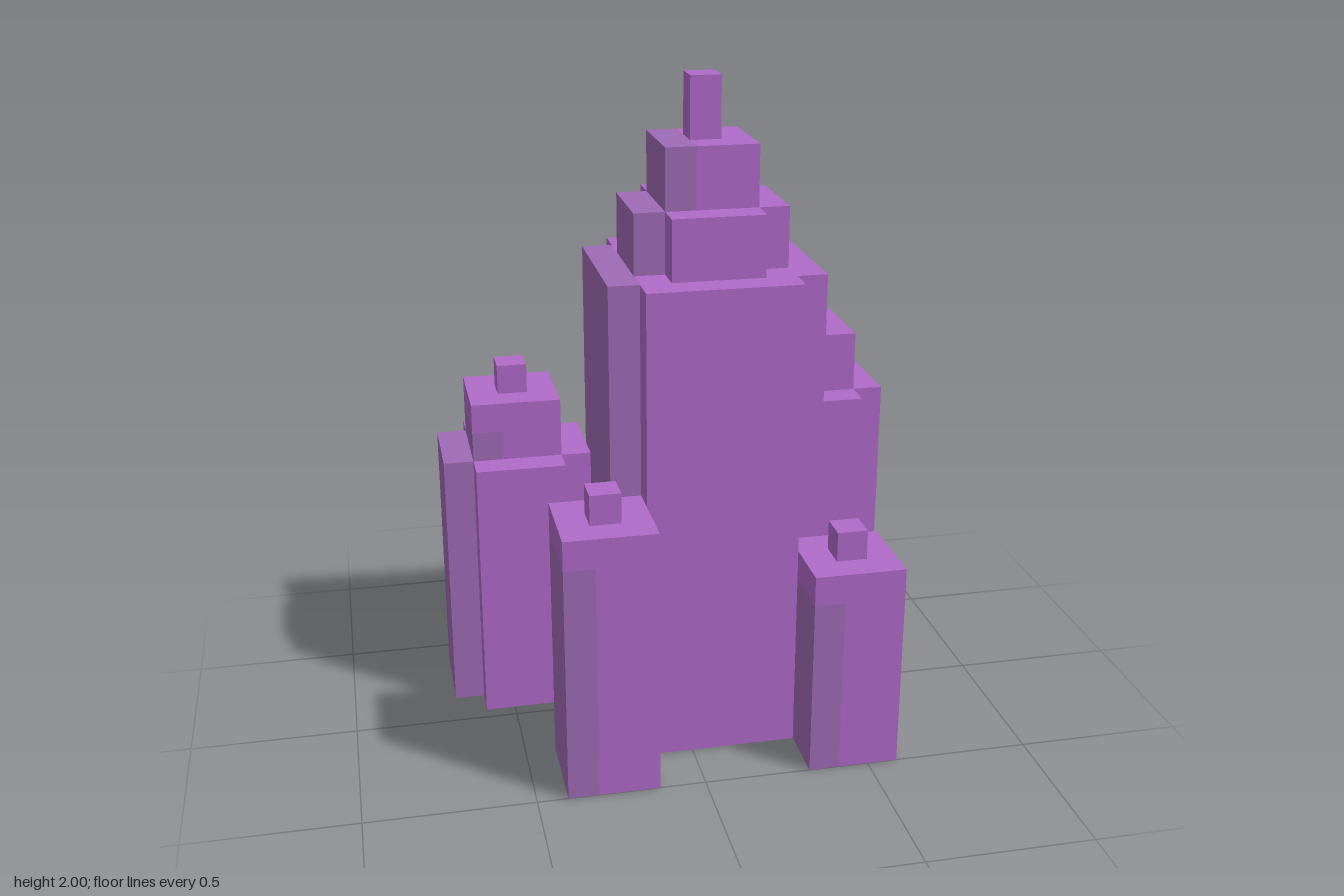
import * as THREE from 'three';
import { mergeGeometries } from 'three/addons/utils/BufferGeometryUtils.js';

const U = 2 / 22; // edge of one cube; the model is 15 x 22 x 11 cubes
const materials = {
  violet: new THREE.MeshStandardMaterial({ color: 0xb06bca }),
  greyViolet: new THREE.MeshStandardMaterial({ color: 0x9f6bb6 }),
};
for (const [name, m] of Object.entries(materials)) m.name = name;

// Six face directions with the rotation that turns a +z plane towards each
const FACES = [
  [1, 0, 0, 0, Math.PI / 2], [-1, 0, 0, 0, -Math.PI / 2],
  [0, 1, 0, -Math.PI / 2, 0], [0, -1, 0, Math.PI / 2, 0],
  [0, 0, 1, 0, 0], [0, 0, -1, 0, Math.PI],
];

export function createModel() {
  const cells = new Map();
  const key = (x, y, z) => `${x},${y},${z}`;

  // Fill a block of cubes: start corner (inclusive) to end corner (exclusive)
  function fill(part, color, x0, x1, y0, y1, z0, z1) {
    for (let x = x0; x < x1; x++)
      for (let y = y0; y < y1; y++)
        for (let z = z0; z < z1; z++) cells.set(key(x, y, z), { part, color, x, y, z });
  }

  // Square block of half-width r; its first column is grey up to greyTop
  function block(part, cx, cz, r, y0, y1, greyTop) {
    fill(part, 'violet', cx - r, cx + r + 1, y0, y1, cz - r, cz + r + 1);
    fill(part, 'greyViolet', cx - r, cx - r + 1, y0, greyTop, cz - r, cz + r + 1);
  }

  // Cross-shaped tier: core of half-width r, arms one cube longer, grey end on the -x arm
  function cross(part, cx, cz, r, y0, y1) {
    fill(part, 'violet', cx - r - 1, cx + r + 2, y0, y1, cz - r, cz + r + 1);
    fill(part, 'violet', cx - r, cx + r + 1, y0, y1, cz - r - 1, cz + r + 2);
    fill(part, 'greyViolet', cx - r - 1, cx - r, y0, y1, cz - r, cz + r + 1);
  }

  function spire(part, cx, cz, y0, y1) {
    fill(part, 'violet', cx, cx + 1, y0, y1, cz, cz + 1);
  }

  // Tall stepped keep
  cross('mainTower', 8, 5, 2, 0, 16);
  cross('mainTowerShoulder', 8, 5, 1, 16, 18);
  block('mainTowerCrown', 8, 5, 1, 18, 20, 20);
  spire('mainTowerSpire', 8, 5, 20, 22);

  // Two stepped towers at the back
  for (const [part, cx, cz, h] of [['backRightTower', 2, 2, 9], ['backLeftTower', 12, 3, 11]]) {
    cross(part, cx, cz, 1, 0, h);
    block(part + 'Crown', cx, cz, 1, h, h + 2, h + 1);
    spire(part + 'Spire', cx, cz, h + 2, h + 3);
  }

  // Two plain towers at the front
  for (const [part, cx, cz, h] of [['frontRightTower', 4, 9, 9], ['frontLeftTower', 12, 9, 7]]) {
    block(part, cx, cz, 1, 0, h, h - 1);
    spire(part + 'Spire', cx, cz, h, h + 1);
  }

  // Keep only the exposed faces, sorted by part and colour
  const parts = {};
  for (const { part, color, x, y, z } of cells.values()) {
    for (const [dx, dy, dz, rx, ry] of FACES) {
      if (cells.has(key(x + dx, y + dy, z + dz))) continue;
      const face = new THREE.PlaneGeometry(U, U).rotateX(rx).rotateY(ry);
      face.translate((x - 7 + dx / 2) * U, (y + 0.5 + dy / 2) * U, (z - 5 + dz / 2) * U);
      const colors = (parts[part] ??= {});
      (colors[color] ??= []).push(face);
    }
  }

  const model = new THREE.Group();
  model.name = 'castle';
  for (const [part, colors] of Object.entries(parts)) {
    const group = new THREE.Group();
    group.name = part;
    for (const [color, faces] of Object.entries(colors)) {
      const mesh = new THREE.Mesh(mergeGeometries(faces), materials[color]);
      mesh.name = part + (color === 'violet' ? 'Walls' : 'GreyColumn');
      group.add(mesh);
    }
    model.add(group);
  }
  return model;
}
